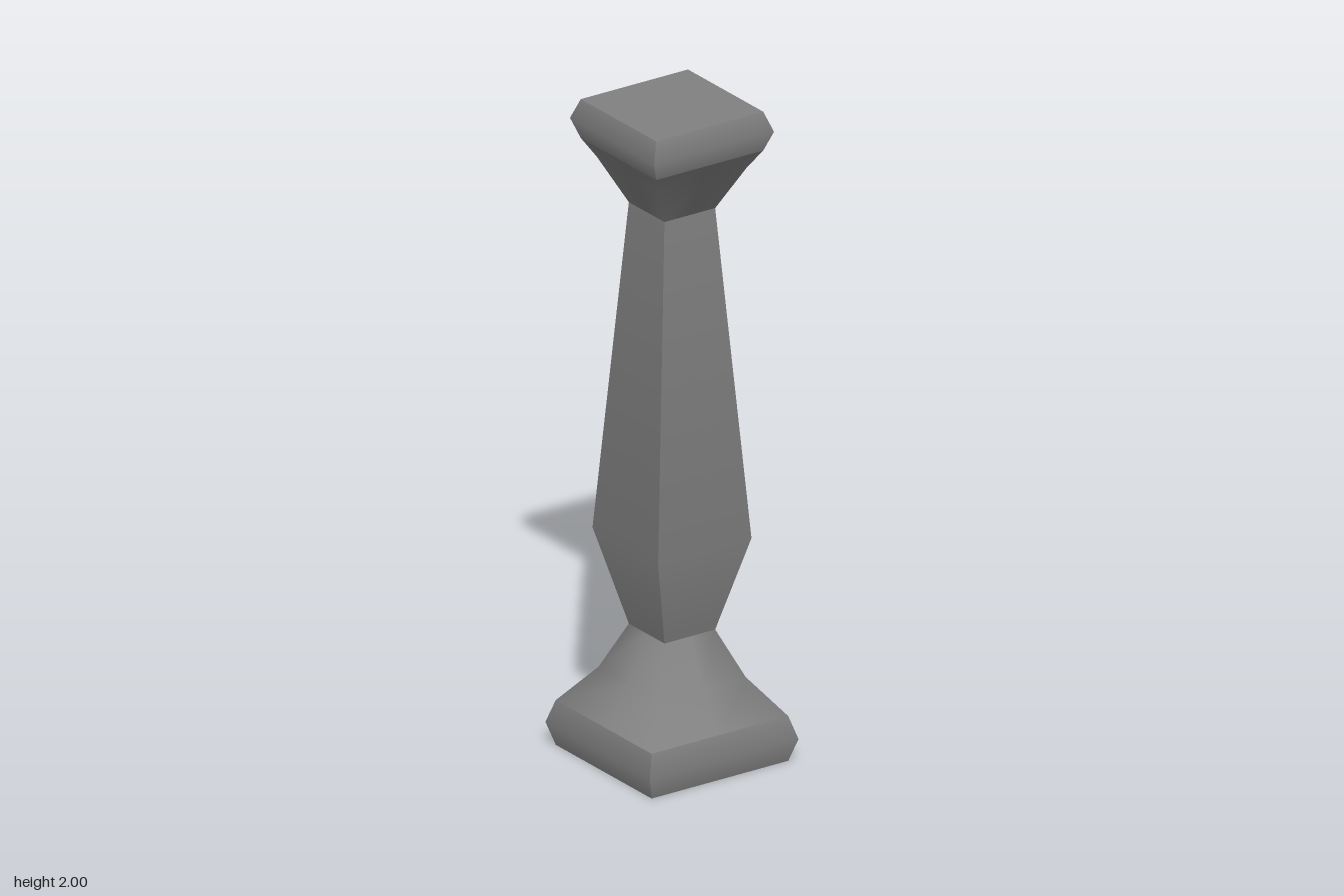
import * as THREE from 'three';
import { mergeGeometries } from 'three/addons/utils/BufferGeometryUtils.js';

const material = new THREE.MeshStandardMaterial({ color: 0x808080 });

// Unit normal of a profile segment as (outward, up)
function segmentNormal([h0, y0], [h1, y1]) {
  return new THREE.Vector2(y1 - y0, h0 - h1).normalize();
}

// Square-section shell from a profile of [half width, height], bottom to top.
// Shading is smooth along the profile; soft parts also blend around the corners.
function squareTurned(name, profile, soft) {
  const last = profile.length - 1;
  const side = new THREE.PlaneGeometry(2, 1, 2, last);
  const { position, normal } = side.attributes;
  for (let i = 0; i < position.count; i++) {
    const row = last - Math.floor(i / 3);
    const column = (i % 3) - 1;
    const [half, y] = profile[row];
    position.setXYZ(i, column * half, y, half);

    const n = new THREE.Vector2();
    if (row > 0) n.add(segmentNormal(profile[row - 1], profile[row]));
    if (row < last) n.add(segmentNormal(profile[row], profile[row + 1]));
    const v = soft
      ? new THREE.Vector3(column * n.x, 2 * n.y, n.x)
      : new THREE.Vector3(0, n.y, n.x);
    v.normalize();
    normal.setXYZ(i, v.x, v.y, v.z);
  }
  const sides = [0, 1, 2, 3].map((k) => side.clone().rotateY((k * Math.PI) / 2));
  const mesh = new THREE.Mesh(mergeGeometries(sides), material);
  mesh.name = name;
  return mesh;
}

// Flat square face, turned to look up (+1) or down (-1)
function squareFace(name, half, y, direction) {
  const geometry = new THREE.PlaneGeometry(2 * half, 2 * half);
  geometry.rotateX((-direction * Math.PI) / 2).translate(0, y, 0);
  const mesh = new THREE.Mesh(geometry, material);
  mesh.name = name;
  return mesh;
}

export function createModel() {
  const group = new THREE.Group();
  group.name = 'baluster';
  const neck = 0.088;

  group.add(
    // Bulging foot and the flare rising from it
    squareFace('baseUnderside', 0.237, 0, -1),
    squareTurned('basePlinth', [[0.237, 0], [0.258, 0.069], [0.237, 0.138]], false),
    squareTurned('baseFlare', [[0.237, 0.138], [0.15, 0.25], [neck, 0.39]], true),
    // Tapered shaft, widest in its lower third
    squareTurned('shaft', [[neck, 0.39], [0.162, 0.68], [neck, 1.692]], false),
    // Flare under the cap and the bulging cap itself
    squareTurned('capFlare', [[neck, 1.692], [0.153, 1.825], [0.186, 1.88]], true),
    squareTurned('cap', [[0.186, 1.88], [0.208, 1.94], [0.186, 2]], false),
    squareFace('capTop', 0.186, 2, 1),
  );
  return group;
}
